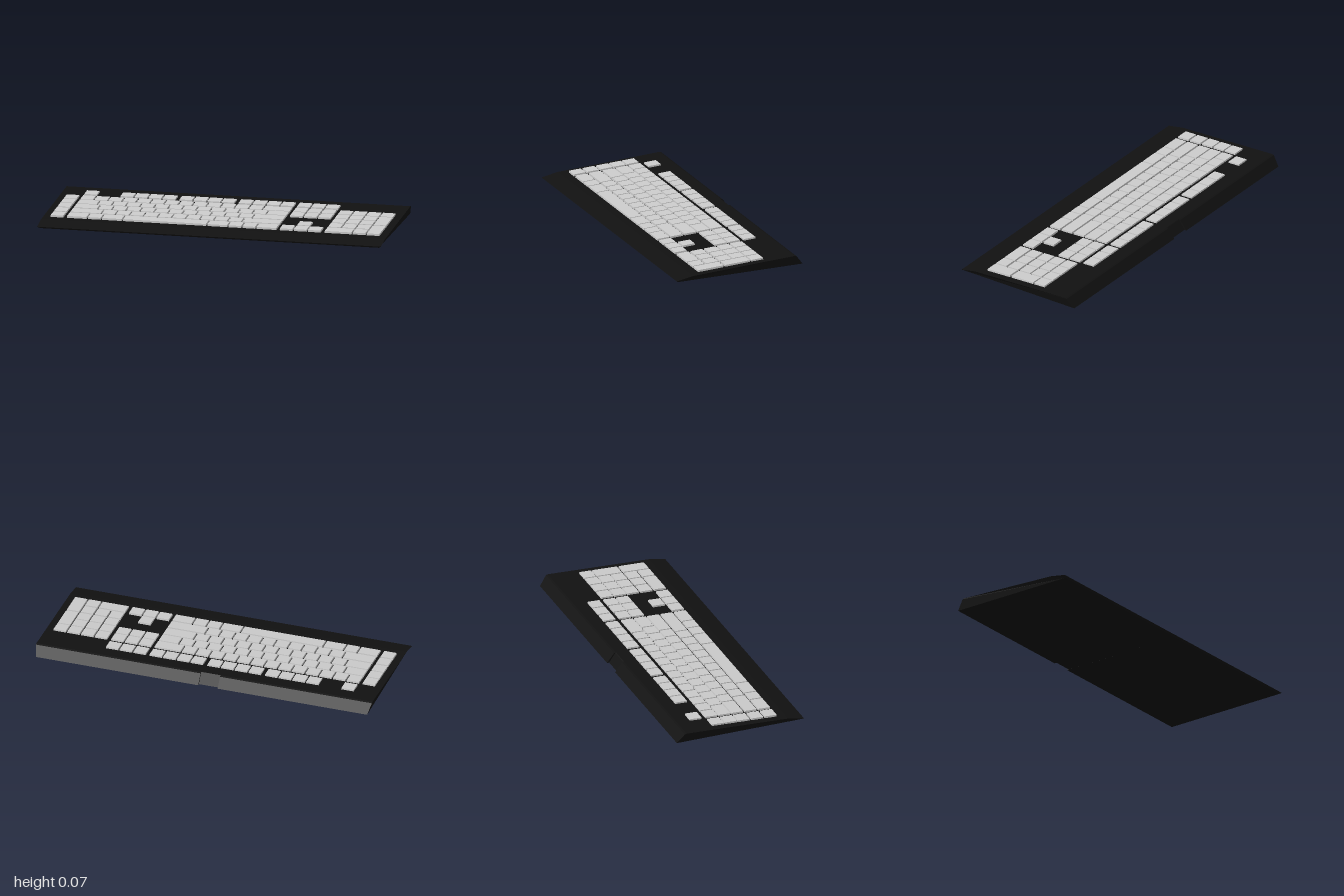
import * as THREE from 'three';

const U = 0.0817;      // key pitch
const GAP = 0.006;     // space between keys
const DEPTH = 0.074;   // depth of a one-row key
const TILT = 0.06;     // slope of the key plane
const ROWS = [-0.219, -0.123, -0.043, 0.037, 0.12, 0.203];   // z of each row

const caseMaterial = new THREE.MeshStandardMaterial({ color: 0x111111, flatShading: true });
const keyMaterial = new THREE.MeshStandardMaterial({ color: 0xcccccc, flatShading: true });

// Wedge-shaped case: one side profile lofted along x, with a cable notch in the back
function createCase() {
  const profile = (inset) => [
    [0.376, 0], [0.388, 0.01], [0.29, 0.03], [-0.333, 0.07],
    [-0.345 + inset * 0.6, 0.067], [-0.388 + inset, 0.013],
  ];
  const stations = [
    [-1, 0], [-0.096, 0], [-0.096, 0.013], [0.02, 0.013], [0.02, 0], [1, 0],
  ];
  const rings = stations.map(([x, inset]) => profile(inset).map(([z, y], i) => {
    const atEnd = Math.abs(x) === 1 && (i === 0 || i === 5);
    return [atEnd ? x * 0.985 : x, y, z];   // underside tucks in at the ends
  }));
  const positions = [];
  const tri = (a, b, c) => positions.push(...a, ...b, ...c);
  const n = rings[0].length;
  for (let s = 0; s < rings.length - 1; s++) {
    for (let i = 0; i < n; i++) {
      const j = (i + 1) % n;
      const a = rings[s][i], b = rings[s + 1][i], c = rings[s + 1][j], d = rings[s][j];
      tri(a, b, c);
      tri(a, c, d);
    }
  }
  // End walls
  const first = rings[0], last = rings[rings.length - 1];
  for (let i = 1; i < n - 1; i++) {
    tri(first[0], first[i], first[i + 1]);
    tri(last[0], last[i + 1], last[i]);
  }
  const geometry = new THREE.BufferGeometry();
  geometry.setAttribute('position', new THREE.Float32BufferAttribute(positions, 3));
  geometry.computeVertexNormals();
  const mesh = new THREE.Mesh(geometry, caseMaterial);
  mesh.name = 'case';
  return mesh;
}

// Slightly tapered key whose top lies at y = 0
function createKey(name, x, z, width, depth) {
  const height = 0.018, taper = 0.0015;
  const geometry = new THREE.BoxGeometry(width, height, depth);
  geometry.translate(0, -height / 2, 0);
  const p = geometry.attributes.position;
  for (let i = 0; i < p.count; i++) {
    if (p.getY(i) > -height / 2) {
      p.setX(i, p.getX(i) - Math.sign(p.getX(i)) * taper);
      p.setZ(i, p.getZ(i) - Math.sign(p.getZ(i)) * taper);
    }
  }
  geometry.computeVertexNormals();
  const mesh = new THREE.Mesh(geometry, keyMaterial);
  mesh.name = name;
  mesh.position.set(x, 0, z);
  return mesh;
}

// Lays keys side by side; widths are in key units
function addRow(group, name, startX, row, widths) {
  let x = startX;
  for (const w of widths) {
    group.add(createKey(name, x + w * U / 2, ROWS[row], w * U - GAP, DEPTH));
    x += w * U;
  }
}

// Key covering two rows
function addTallKey(group, name, startX, row) {
  const z = (ROWS[row] + ROWS[row + 1]) / 2;
  const depth = ROWS[row + 1] - ROWS[row] + DEPTH;
  group.add(createKey(name, startX + U / 2, z, U - GAP, depth));
}

const ones = (count) => Array(count).fill(1);

export function createModel() {
  const model = new THREE.Group();
  model.name = 'keyboard';
  model.add(createCase());

  const keys = new THREE.Group();
  keys.name = 'keys';
  keys.position.y = 0.0588;
  keys.rotation.x = TILT;
  model.add(keys);

  // Extra column on the far side
  for (let row = 1; row <= 5; row++) addRow(keys, 'sideColumnKey', -0.961, row, [1]);

  // Main block
  const mainX = -0.866;
  addRow(keys, 'escapeKey', mainX, 0, [1]);
  for (const x of [-0.656, -0.313, 0.031]) addRow(keys, 'functionKey', x, 0, ones(4));
  const mainRows = [
    [...ones(13), 2],
    [1.5, ...ones(12), 1.5],
    [1.75, ...ones(11), 2.25],
    [2.25, ...ones(10), 2.75],
    [1.5, 1, 1.5, 6, 1.5, 1, 1, 1.5],
  ];
  mainRows.forEach((widths, i) => addRow(keys, 'mainKey', mainX, i + 1, widths));

  // Navigation and arrow keys
  const navX = 0.372;
  for (let row = 0; row <= 2; row++) addRow(keys, 'navigationKey', navX, row, ones(3));
  addRow(keys, 'arrowKey', navX + U, 4, [1]);
  addRow(keys, 'arrowKey', navX, 5, ones(3));

  // Number pad
  const padX = 0.633;
  addRow(keys, 'numberPadKey', padX, 1, ones(4));
  for (let row = 2; row <= 4; row++) addRow(keys, 'numberPadKey', padX, row, ones(3));
  addRow(keys, 'numberPadKey', padX, 5, [2, 1]);
  addTallKey(keys, 'numberPadTallKey', padX + 3 * U, 2);
  addTallKey(keys, 'numberPadTallKey', padX + 3 * U, 4);

  return model;
}
